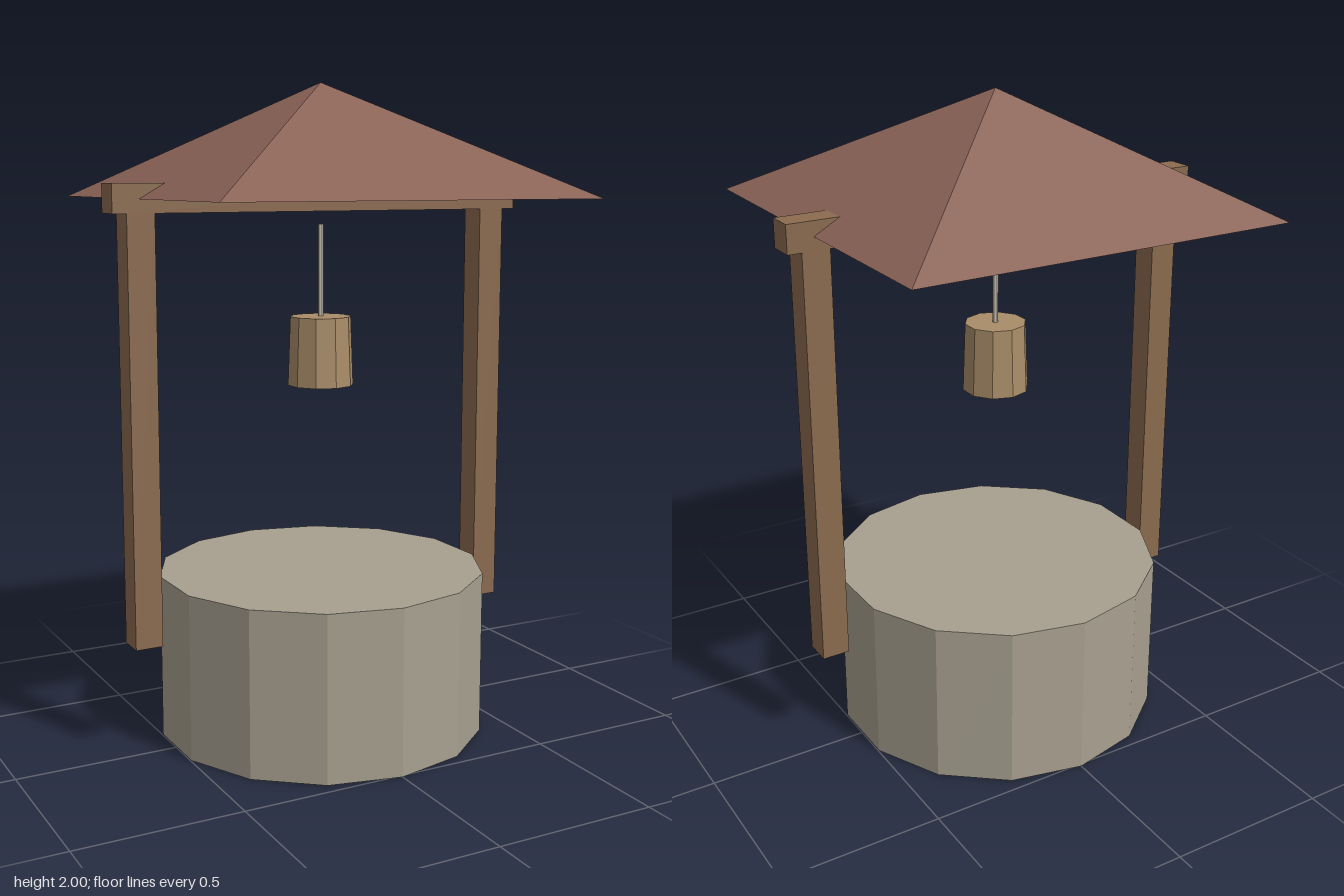
import * as THREE from 'three';

const paint = (color) => new THREE.MeshStandardMaterial({ color, flatShading: true });

export function createModel() {
  const well = new THREE.Group();
  well.name = 'well';
  const stone = paint(0xa8a090), wood = paint(0x8b6b4f), shingle = paint(0x8b6357);
  const pail = paint(0xa98d68), cord = paint(0xc4beb0);

  const add = (name, geometry, material, x, y) => {
    const mesh = new THREE.Mesh(geometry, material);
    mesh.name = name;
    mesh.position.set(x, y, 0);
    well.add(mesh);
    return mesh;
  };

  // Faceted stone base
  add('stoneBase', new THREE.CylinderGeometry(0.51, 0.51, 0.51, 14), stone, 0, 0.255);

  // Posts on either side and the beam across them
  for (const [name, side] of [['leftPost', 1], ['rightPost', -1]]) {
    add(name, new THREE.BoxGeometry(0.085, 1.277, 0.085), wood, side * 0.595, 0.9815);
  }
  add('crossBeam', new THREE.BoxGeometry(1.36, 0.085, 0.085), wood, 0, 1.6625);

  // Square pyramid roof, closed underneath
  const roof = add('roof', new THREE.ConeGeometry(0.6 * Math.SQRT2, 0.34, 4), shingle, 0, 1.83);
  roof.rotation.y = Math.PI / 4;

  // Bucket hanging on its rope
  add('rope', new THREE.CylinderGeometry(0.0085, 0.0085, 0.34, 6), cord, 0, 1.41);
  add('bucket', new THREE.CylinderGeometry(0.094, 0.102, 0.212, 10), pail, 0, 1.194);

  return well;
}
